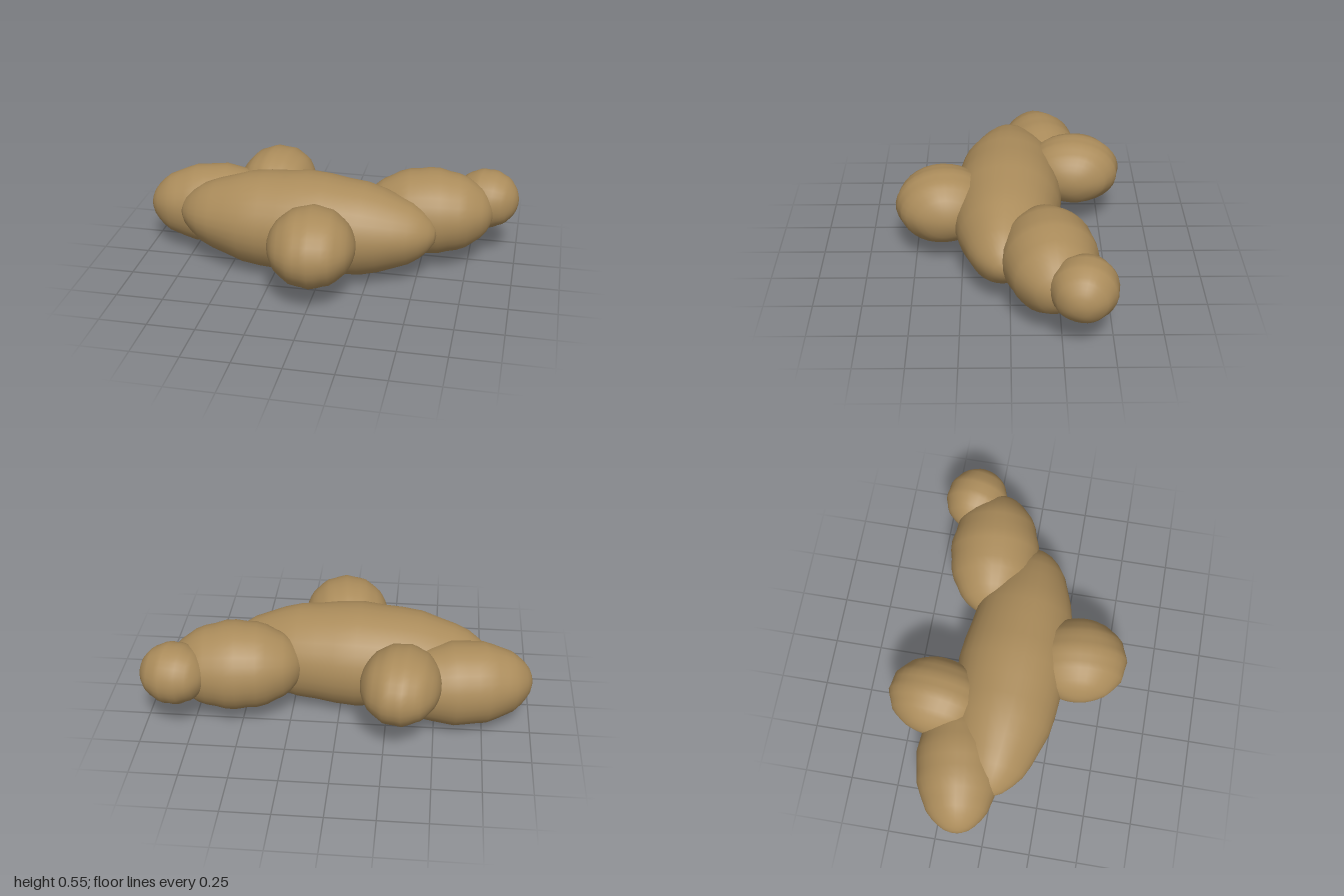
import * as THREE from 'three';

const skin = new THREE.MeshStandardMaterial({ color: 0xab8c5b });
skin.name = 'tan root skin';

// Knobbly ellipsoid lobe: poles lie along x, faint rings and pinched, creased tips.
function lobe(name, centre, radii, turn, phase) {
  const geo = new THREE.SphereGeometry(1, 30, 20);
  geo.rotateZ(-Math.PI / 2);
  const p = geo.attributes.position;
  const v = new THREE.Vector3();
  for (let i = 0; i < p.count; i++) {
    v.fromBufferAttribute(p, i);
    const ring = Math.hypot(v.y, v.z);
    const around = ring > 1e-4 ? Math.atan2(v.z, v.y) : 0;
    const t = Math.acos(THREE.MathUtils.clamp(v.x, -1, 1));
    const rings = 0.018 * Math.sin(t * 13 + phase);
    const creases = 0.04 * Math.sin(around * 5 + phase) * ring * v.x * v.x;
    const k = 1 + (rings + creases) * Math.min(1, ring * 2);
    p.setXYZ(i, v.x, v.y * k, v.z * k);
  }
  geo.scale(...radii);
  geo.computeVertexNormals();
  // Share normals across the wrap seam and at the poles.
  const n = geo.attributes.normal, cols = 31, last = 20;
  for (let r = 0; r <= last; r++) {
    const a = r * cols, b = a + cols - 1;
    if (r === 0 || r === last) {
      for (let c = a; c <= b; c++) n.setXYZ(c, r === 0 ? 1 : -1, 0, 0);
      continue;
    }
    v.set(n.getX(a) + n.getX(b), n.getY(a) + n.getY(b), n.getZ(a) + n.getZ(b)).normalize();
    n.setXYZ(a, v.x, v.y, v.z);
    n.setXYZ(b, v.x, v.y, v.z);
  }
  const mesh = new THREE.Mesh(geo, skin);
  mesh.name = name;
  mesh.position.set(...centre);
  mesh.rotation.y = turn;
  return mesh;
}

export function createModel() {
  const root = new THREE.Group();
  root.name = 'gingerRoot';
  root.add(
    lobe('mainBody', [-0.095, 0.275, 0.01], [0.695, 0.27, 0.285], -0.04, 0.6),
    lobe('rightLobe', [-0.64, 0.25, -0.18], [0.36, 0.218, 0.217], 0.15, 2.0),
    lobe('leftLobe', [0.53, 0.305, -0.195], [0.345, 0.228, 0.238], 0.1, 1.2),
    lobe('leftTip', [0.828, 0.335, -0.345], [0.172, 0.157, 0.165], -0.15, 3.1),
    lobe('frontKnob', [0, 0.308, 0.345], [0.225, 0.2, 0.252], 0.1, 0.3),
    lobe('backKnob', [-0.328, 0.335, -0.35], [0.205, 0.187, 0.248], -0.1, 4.0)
  );
  return root;
}
